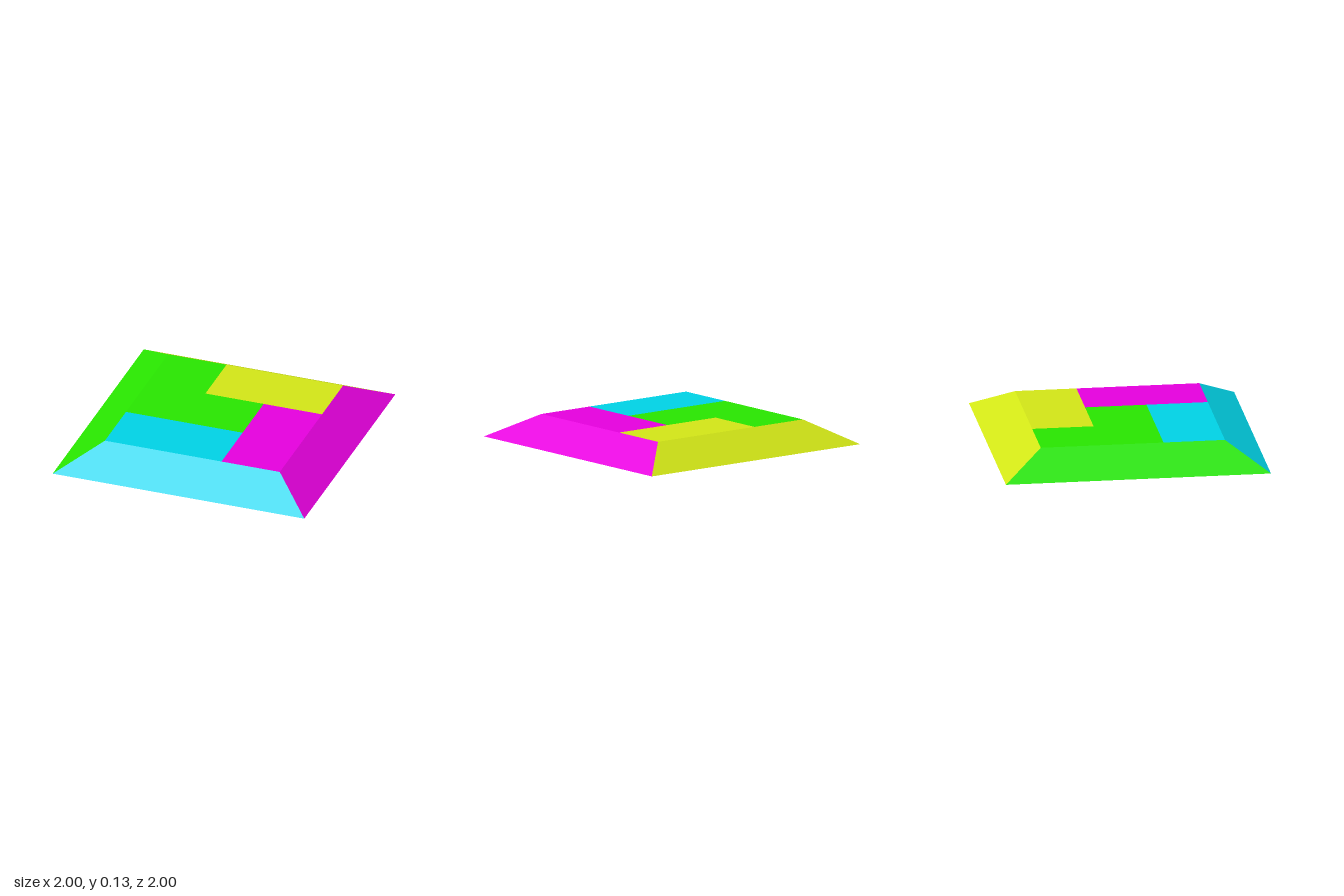
import * as THREE from 'three';

const TOP = 0.695, HEIGHT = 0.127, CELL = TOP / 3;

function material(name, color) {
  const m = new THREE.MeshStandardMaterial({ color });
  m.name = name;
  return m;
}

// Flat-shaded mesh from a list of four-cornered faces (counter-clockwise)
function quads(name, faces, mat) {
  const points = faces.flatMap(([a, b, c, d]) => [a, b, c, a, c, d]).flat();
  const geometry = new THREE.BufferGeometry();
  geometry.setAttribute('position', new THREE.Float32BufferAttribute(points, 3));
  geometry.computeVertexNormals();
  const mesh = new THREE.Mesh(geometry, mat);
  mesh.name = name;
  return mesh;
}

// Point on the top's diagonal 3 x 3 grid: u runs left to back, v runs left to front
const gridPoint = (u, v) => [-TOP + (u + v) * CELL, HEIGHT, (v - u) * CELL];
const tile = (u0, v0, u1, v1) =>
  [gridPoint(u0, v0), gridPoint(u0, v1), gridPoint(u1, v1), gridPoint(u1, v0)];

export function createModel() {
  const group = new THREE.Group();
  group.name = 'inlaidDiamondTile';

  const cyan = material('cyan', 0x00d2e6);
  const magenta = material('magenta', 0xe600de);
  const yellow = material('yellowGreen', 0xd2e617);
  const green = material('green', 0x28e600);
  const brown = material('orangeBrown', 0xcc7600);

  // Corners of the diamond, in order around it
  const corners = [[-1, 0], [0, 1], [1, 0], [0, -1]];
  const outer = corners.map(([x, z]) => [x, 0, z]);
  const inner = corners.map(([x, z]) => [x * TOP, HEIGHT, z * TOP]);

  // Each coloured section is one sloped side plus its interlocking top tiles
  const sections = [
    ['frontRight', cyan, [tile(0, 0, 1, 2)]],
    ['frontLeft', magenta, [tile(0, 2, 2, 3)]],
    ['backLeft', yellow, [tile(2, 1, 3, 3)]],
    ['backRight', green, [tile(1, 0, 3, 1), tile(1, 1, 2, 2)]],
  ];
  sections.forEach(([name, mat, tiles], i) => {
    const j = (i + 1) % 4;
    group.add(quads(name + 'Slope', [[outer[i], outer[j], inner[j], inner[i]]], mat));
    group.add(quads(name + 'TopTile', tiles, mat));
  });

  // Underside
  group.add(quads('base', [[...outer].reverse()], brown));
  return group;
}
